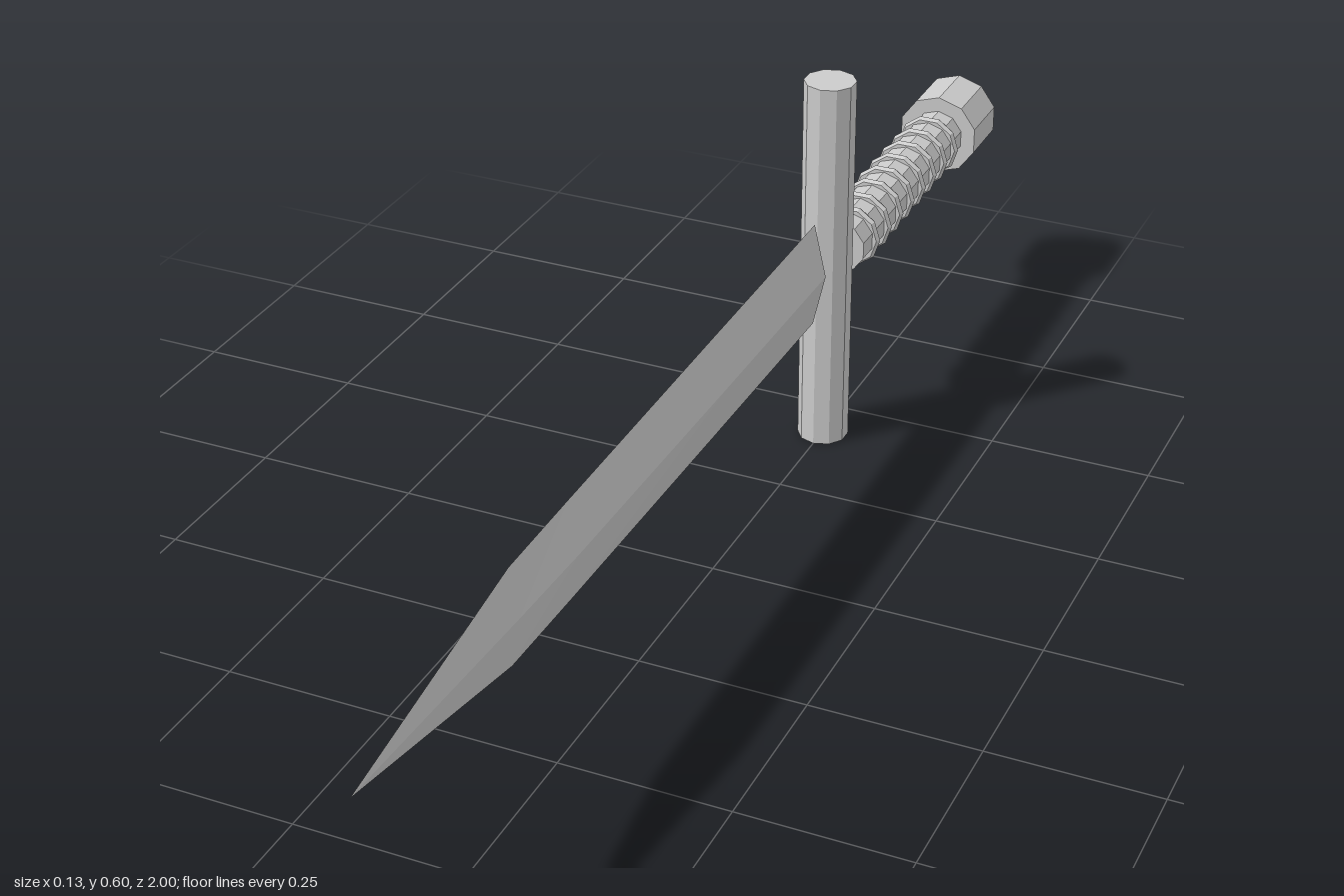
import * as THREE from 'three';

const SIDES = 10;
const AXIS_Y = 0.3; // height of the sword's long axis

export function createModel() {
  const sword = new THREE.Group();
  sword.name = 'sword';
  const material = new THREE.MeshStandardMaterial({ color: 0xcccccc, flatShading: true });

  const add = (name, geometry, y, z) => {
    const mesh = new THREE.Mesh(geometry, material);
    mesh.name = name;
    mesh.position.set(0, y, z);
    sword.add(mesh);
    return mesh;
  };

  // Cylinder lying along z between two depths
  const rod = (name, radius, zBack, zFront) => {
    const geometry = new THREE.CylinderGeometry(radius, radius, zFront - zBack, SIDES);
    geometry.rotateX(Math.PI / 2);
    return add(name, geometry, AXIS_Y, (zBack + zFront) / 2);
  };

  // Blade: diamond sections tapering to a point
  add('blade', bladeGeometry(), AXIS_Y, 0);

  // Upright crossguard
  add('crossguard', new THREE.CylinderGeometry(0.039, 0.039, 0.595, SIDES), 0.2975, -0.42);

  // Grip with wire rings, ending in a pommel
  rod('grip', 0.042, -0.905, -0.47);
  for (let i = 0; i < 8; i++) {
    add(`gripRing${i + 1}`, new THREE.TorusGeometry(0.043, 0.0075, 6, SIDES), AXIS_Y, -0.513 - i * 0.0497);
  }
  rod('pommel', 0.066, -1, -0.903);

  return sword;
}

function bladeGeometry() {
  // z, half height, half thickness
  const sections = [
    [-0.37, 0.083, 0.019],
    [0, 0.08, 0.018],
    [0.45, 0.0755, 0.0155],
    [0.61, 0.073, 0.012],
    [1, 0, 0],
  ];
  const positions = [];
  const indices = [];
  for (const [z, h, w] of sections) {
    positions.push(w, 0, z, 0, h, z, -w, 0, z, 0, -h, z);
  }
  const last = sections.length - 2;
  for (let i = 0; i <= last; i++) {
    for (let k = 0; k < 4; k++) {
      const a = i * 4 + k;
      const b = i * 4 + ((k + 1) % 4);
      indices.push(a, b, a + 4);
      if (i < last) indices.push(b, b + 4, a + 4);
    }
  }
  indices.push(0, 2, 1, 0, 3, 2); // flat end facing the guard

  const geometry = new THREE.BufferGeometry();
  geometry.setAttribute('position', new THREE.Float32BufferAttribute(positions, 3));
  geometry.setIndex(indices);
  const flat = geometry.toNonIndexed();
  flat.computeVertexNormals();
  return flat;
}
